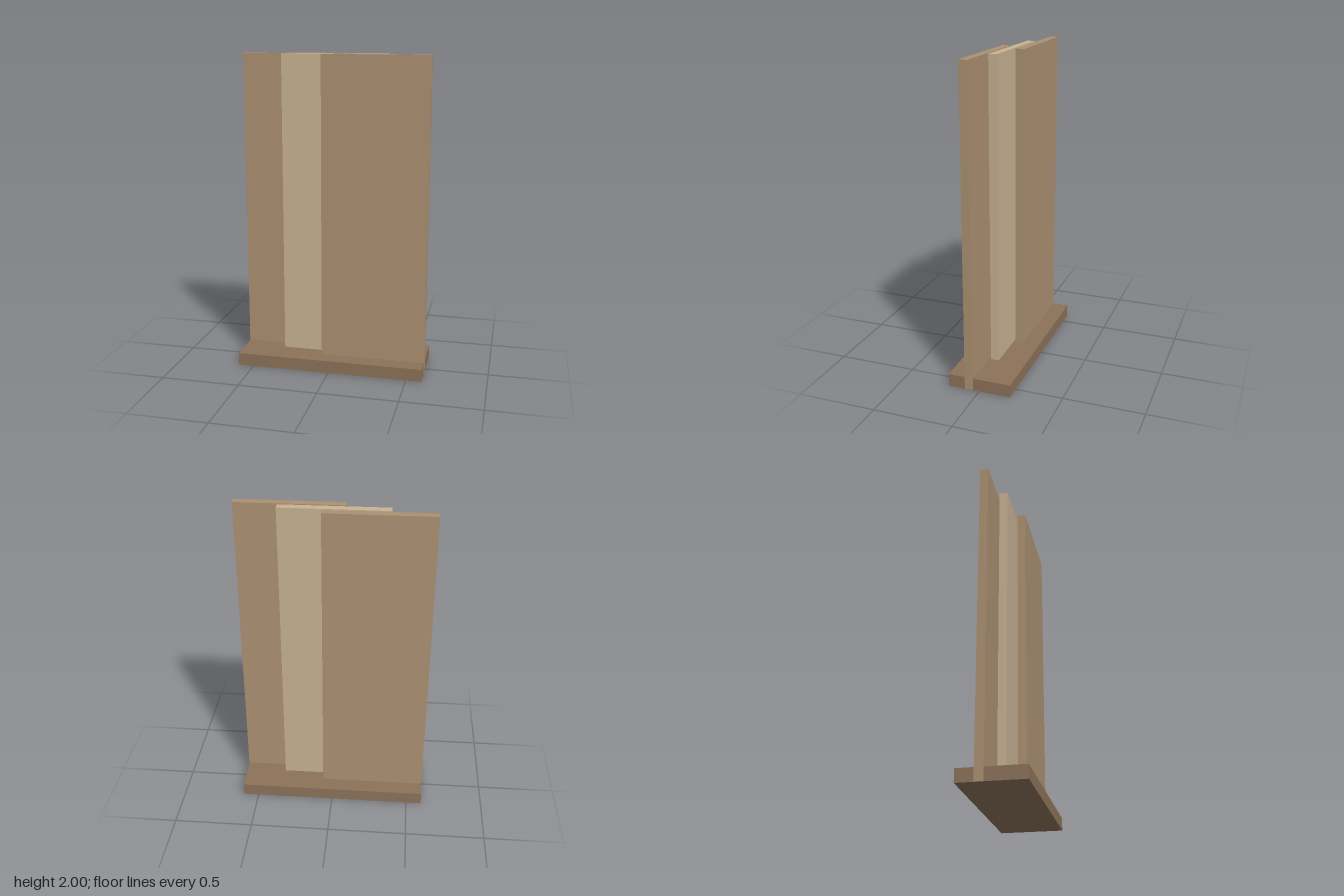
import * as THREE from 'three';

const HEIGHT = 2;
const PANEL_WIDTH = 0.667;
const PANEL_DEPTH = 0.053;

function addBox(group, name, size, position, color) {
  const mesh = new THREE.Mesh(
    new THREE.BoxGeometry(...size),
    new THREE.MeshStandardMaterial({ color })
  );
  mesh.name = name;
  mesh.position.set(...position);
  group.add(mesh);
}

export function createModel() {
  const group = new THREE.Group();
  group.name = 'slidingPanels';

  // Base sill, a hair shorter than the panels' span so their ends show on its sides
  addBox(group, 'base', [1.198, 0.08, 0.4], [0, 0.04, 0], 0x8c7259);

  // Three overlapping panels, staggered in x and z, set down into the base
  const panels = [
    ['backPanel', -1, 0xac9172],
    ['middlePanel', 0, 0xc8b293],
    ['frontPanel', 1, 0xac9172],
  ];
  const bottom = 0.001;
  for (const [name, step, color] of panels) {
    addBox(
      group, name,
      [PANEL_WIDTH, HEIGHT - bottom, PANEL_DEPTH],
      [step * 0.2667, (HEIGHT + bottom) / 2, step * 0.067],
      color
    );
  }
  return group;
}
